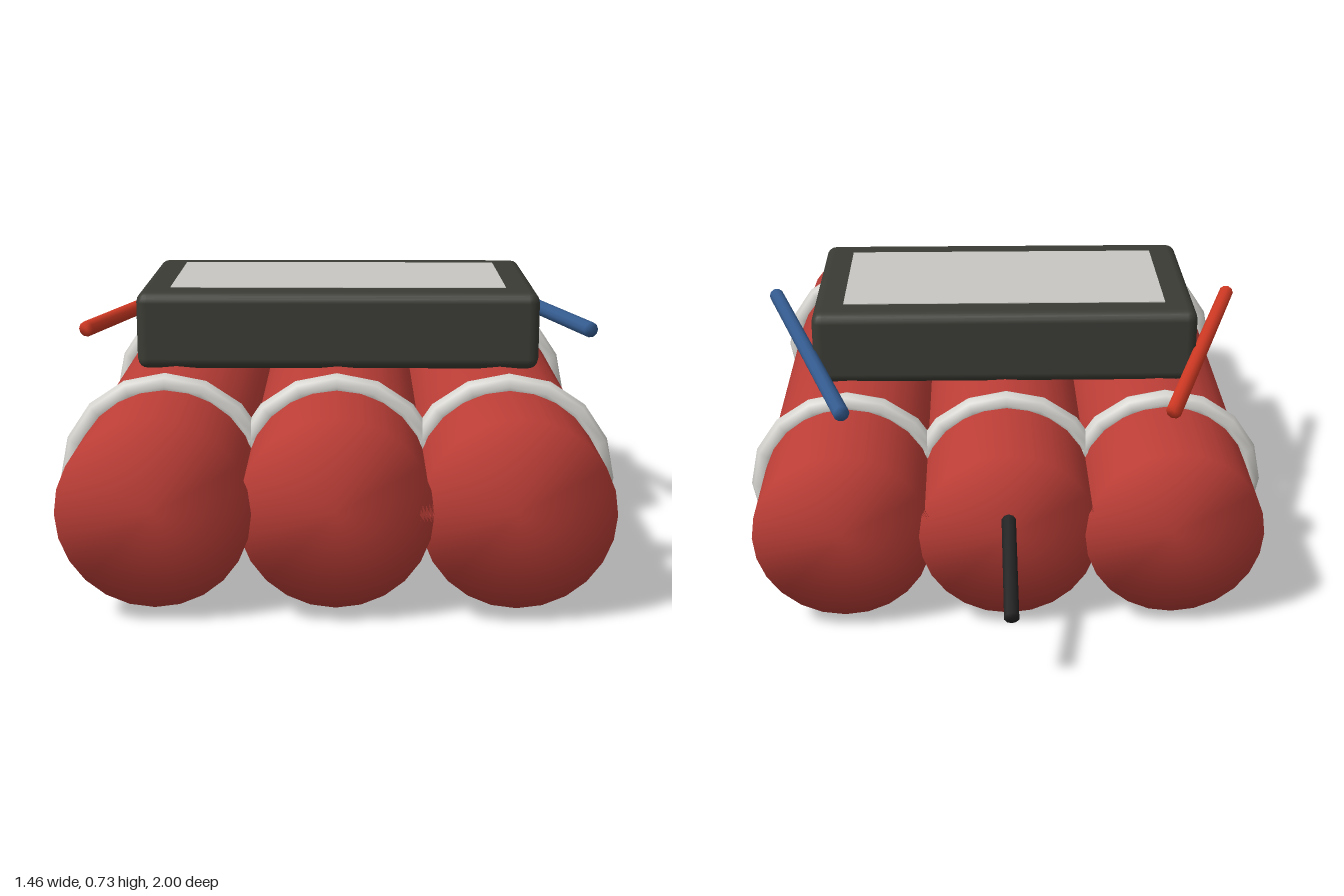
import * as THREE from 'three';
import { mergeVertices } from 'three/addons/utils/BufferGeometryUtils.js';
import { RoundedBoxGeometry } from 'three/addons/geometries/RoundedBoxGeometry.js';

const mat = (name, color) => new THREE.MeshStandardMaterial({ name, color });

// Cylinder whose caps share vertices with the side, so the shading runs softly over the rim
function softCylinder(radius, length, sides) {
  const g = new THREE.CylinderGeometry(radius, radius, length, sides);
  g.deleteAttribute('uv');
  g.deleteAttribute('normal');
  const merged = mergeVertices(g, 1e-4);
  merged.computeVertexNormals();
  return merged;
}

// Straight rod between two points
function rod(name, a, b, radius, material) {
  const from = new THREE.Vector3(...a), to = new THREE.Vector3(...b);
  const dir = to.clone().sub(from);
  const mesh = new THREE.Mesh(softCylinder(radius, dir.length(), 10), material);
  mesh.name = name;
  mesh.position.copy(from).add(to).multiplyScalar(0.5);
  mesh.quaternion.setFromUnitVectors(new THREE.Vector3(0, 1, 0), dir.normalize());
  return mesh;
}

export function createModel() {
  const group = new THREE.Group();
  group.name = 'tubeBundle';
  const red = mat('tube red', 0xbc3e37);
  const white = mat('band white', 0xd6d5d0);
  const dark = mat('case dark grey', 0x3a3b34);
  const grey = mat('panel light grey', 0xc8c7c3);
  const wireRed = mat('wire red', 0xd23a24);
  const wireBlue = mat('wire blue', 0x345b8f);
  const black = mat('cord black', 0x222222);

  // Three tubes side by side, each with two bands
  const tubeGeo = softCylinder(0.24, 1.67, 24);
  const bandGeo = new THREE.TorusGeometry(0.25, 0.03, 8, 16);
  for (const x of [-0.445, 0, 0.445]) {
    const tube = new THREE.Mesh(tubeGeo, red);
    tube.name = 'tube';
    tube.rotation.x = Math.PI / 2;
    tube.position.set(x, 0.28, 0.165);
    group.add(tube);
    for (const z of [0.685, -0.35]) {
      const band = new THREE.Mesh(bandGeo, white);
      band.name = 'band';
      band.position.set(x, 0.28, z);
      group.add(band);
    }
  }

  // Case on top with a flat panel
  const box = new THREE.Mesh(new RoundedBoxGeometry(1.106, 0.215, 0.62, 2, 0.03), dark);
  box.name = 'case';
  box.position.set(0, 0.6175, 0.125);
  const panel = new THREE.Mesh(new THREE.BoxGeometry(0.93, 0.006, 0.45), grey);
  panel.name = 'panel';
  panel.position.set(0, 0.724, 0.125);
  group.add(box, panel);

  // Slanted wires at both sides and the cord at the back
  group.add(
    rod('rightWire', [-0.44, 0.6, -0.575], [-0.71, 0.6, 0.31], 0.022, wireRed),
    rod('leftWire', [0.44, 0.6, -0.575], [0.71, 0.6, 0.31], 0.022, wireBlue),
    rod('cord', [0, 0.345, -0.6], [0, 0.23, -0.994], 0.02, black)
  );
  return group;
}
